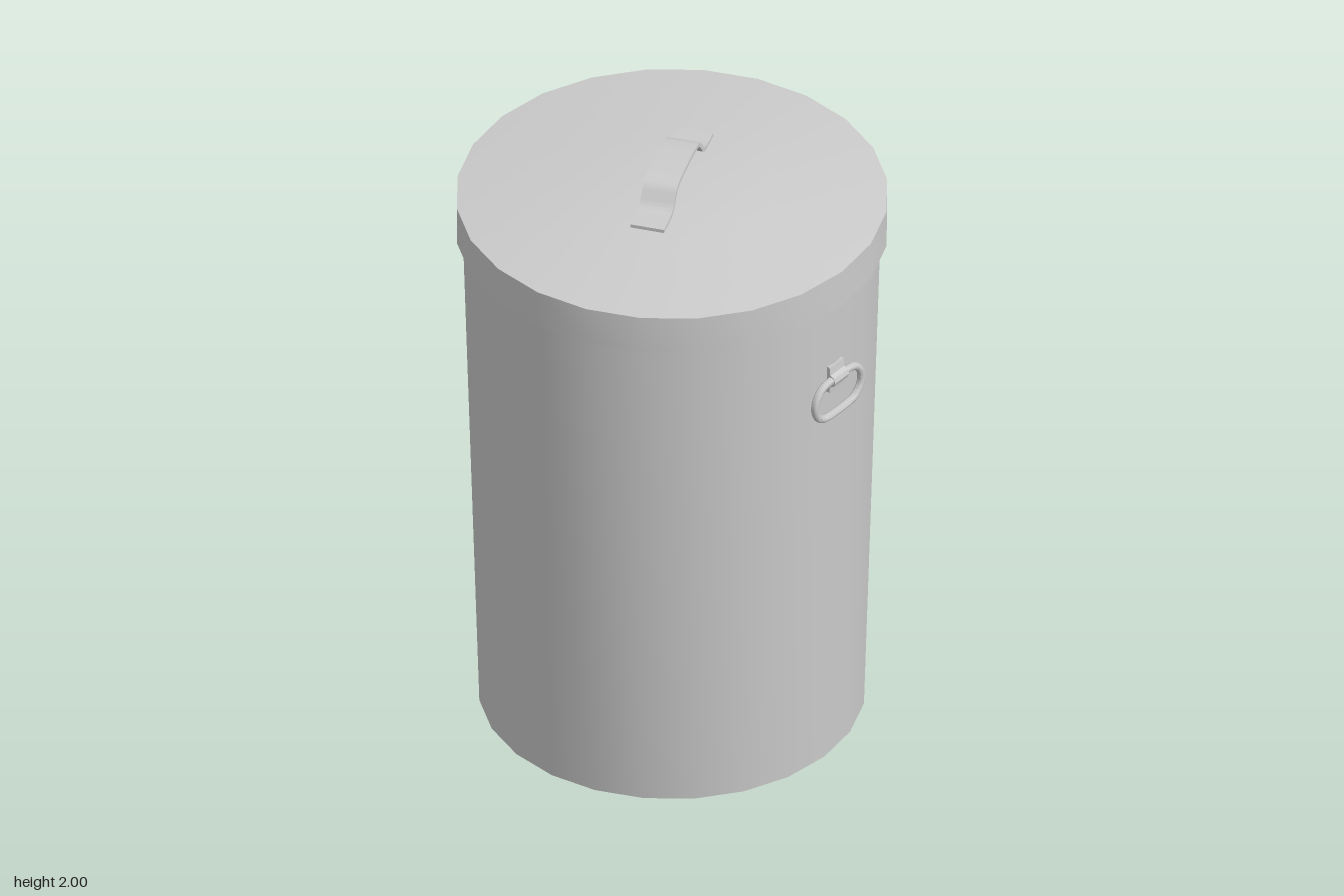
import * as THREE from 'three';
import { toCreasedNormals } from 'three/addons/utils/BufferGeometryUtils.js';

const SEGMENTS = 24;
const material = new THREE.MeshStandardMaterial({ color: 0xcccccc });
const v2 = ([x, y]) => new THREE.Vector2(x, y);

function part(name, geometry, crease = 0.5) {
  const mesh = new THREE.Mesh(toCreasedNormals(geometry, crease), material);
  mesh.name = name;
  return mesh;
}

const lathe = (points) => new THREE.LatheGeometry(points.map(v2), SEGMENTS);

// Extrudes an outline and centres it on its depth
function slab(points, depth) {
  const geometry = new THREE.ExtrudeGeometry(new THREE.Shape(points), { depth, bevelEnabled: false });
  return geometry.translate(0, 0, -depth / 2);
}

// Bent metal strap on top of the lid
function lidHandle() {
  const half = [[0.27, 1.921], [0.19, 1.925], [0.165, 1.937], [0.145, 1.96], [0.125, 1.982], [0.095, 1.993]];
  const path = [...half.map(([x, y]) => [-x, y]), ...half.slice().reverse()].map(v2);
  const curve = new THREE.CatmullRomCurve3(path.map((p) => new THREE.Vector3(p.x, p.y, 0)), false, 'centripetal');
  const upper = [];
  const lower = [];
  const steps = 44;
  for (let i = 0; i <= steps; i++) {
    const p = curve.getPoint(i / steps);
    const t = curve.getTangent(i / steps).multiplyScalar(0.007);
    upper.push(new THREE.Vector2(p.x - t.y, p.y + t.x));
    lower.unshift(new THREE.Vector2(p.x + t.y, p.y - t.x));
  }
  const mesh = part('lidHandle', slab([...lower.reverse(), ...upper.reverse()], 0.108));
  mesh.rotation.y = THREE.MathUtils.degToRad(22);
  return mesh;
}

// Oval ring hanging from a bracket on the body wall
function sideHandle(name) {
  const group = new THREE.Group();
  group.name = name;

  const points = [];
  for (const side of [1, -1]) {
    for (let i = 0; i <= 8; i++) {
      const a = side * Math.PI / 2 - Math.PI * (i / 8);
      points.push(new THREE.Vector3(side * 0.052 + 0.063 * Math.cos(a), 1.405 + 0.063 * Math.sin(a), 0.655));
    }
  }
  const oval = new THREE.CatmullRomCurve3(points, true, 'centripetal');
  group.add(part('ring', new THREE.TubeGeometry(oval, 64, 0.0125, 10, true), 1));

  const profile = [[0.62, 1.42], [0.648, 1.42], [0.65, 1.442], [0.665, 1.45], [0.671, 1.465],
    [0.666, 1.48], [0.652, 1.487], [0.649, 1.515], [0.62, 1.515]];
  const bracket = part('bracket', slab(profile.map(v2), 0.07));
  bracket.rotation.y = -Math.PI / 2;
  group.add(bracket);
  return group;
}

export function createModel() {
  const model = new THREE.Group();
  model.name = 'trashCan';

  // Tapered hollow body
  model.add(part('body', lathe([[0, 0], [0.6, 0], [0.654, 1.86], [0.64, 1.86], [0.587, 0.015], [0, 0.015]])));

  // Shallow domed lid with a rim that overlaps the body
  model.add(part('lid', lathe([[0, 1.915], [0.66, 1.86], [0.66, 1.74], [0.67, 1.74],
    [0.67, 1.87], [0.31, 1.915], [0, 1.925]])));
  model.add(lidHandle());

  // Front and back ring handles
  const back = sideHandle('backHandle');
  back.rotation.y = Math.PI;
  model.add(sideHandle('frontHandle'), back);
  return model;
}
